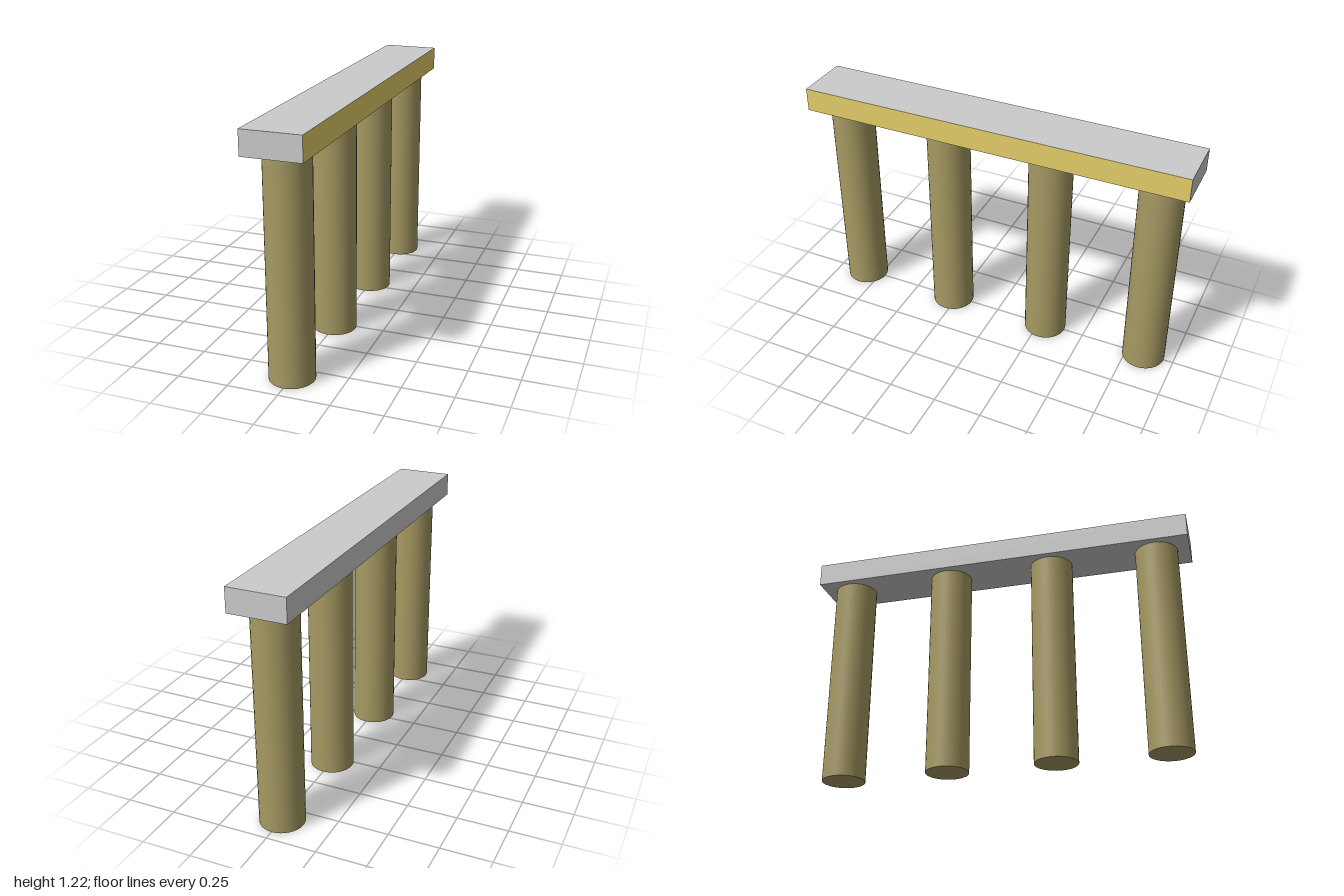
import * as THREE from 'three';

export function createModel() {
  const group = new THREE.Group();
  const grey = new THREE.MeshStandardMaterial({ color: 0xcccccc });
  const yellow = new THREE.MeshStandardMaterial({ color: 0xe5cf6a });
  const stone = new THREE.MeshStandardMaterial({ color: 0xa69a63 });

  const columnHeight = 1.097, beamHeight = 0.12;

  // Beam across the columns: only its left (+x) face is coloured
  const beam = new THREE.Mesh(
    new THREE.BoxGeometry(0.288, beamHeight, 2),
    [yellow, grey, grey, grey, grey, grey]
  );
  beam.name = 'beam';
  beam.position.y = columnHeight + beamHeight / 2;
  group.add(beam);

  // Row of four round columns, set slightly towards the back
  const columnGeometry = new THREE.CylinderGeometry(0.11, 0.11, columnHeight, 32);
  for (let i = 0; i < 4; i++) {
    const column = new THREE.Mesh(columnGeometry, stone);
    column.name = `column${i + 1}`;
    column.position.set(-0.001, columnHeight / 2, 0.828 - i * 0.556);
    group.add(column);
  }

  return group;
}
